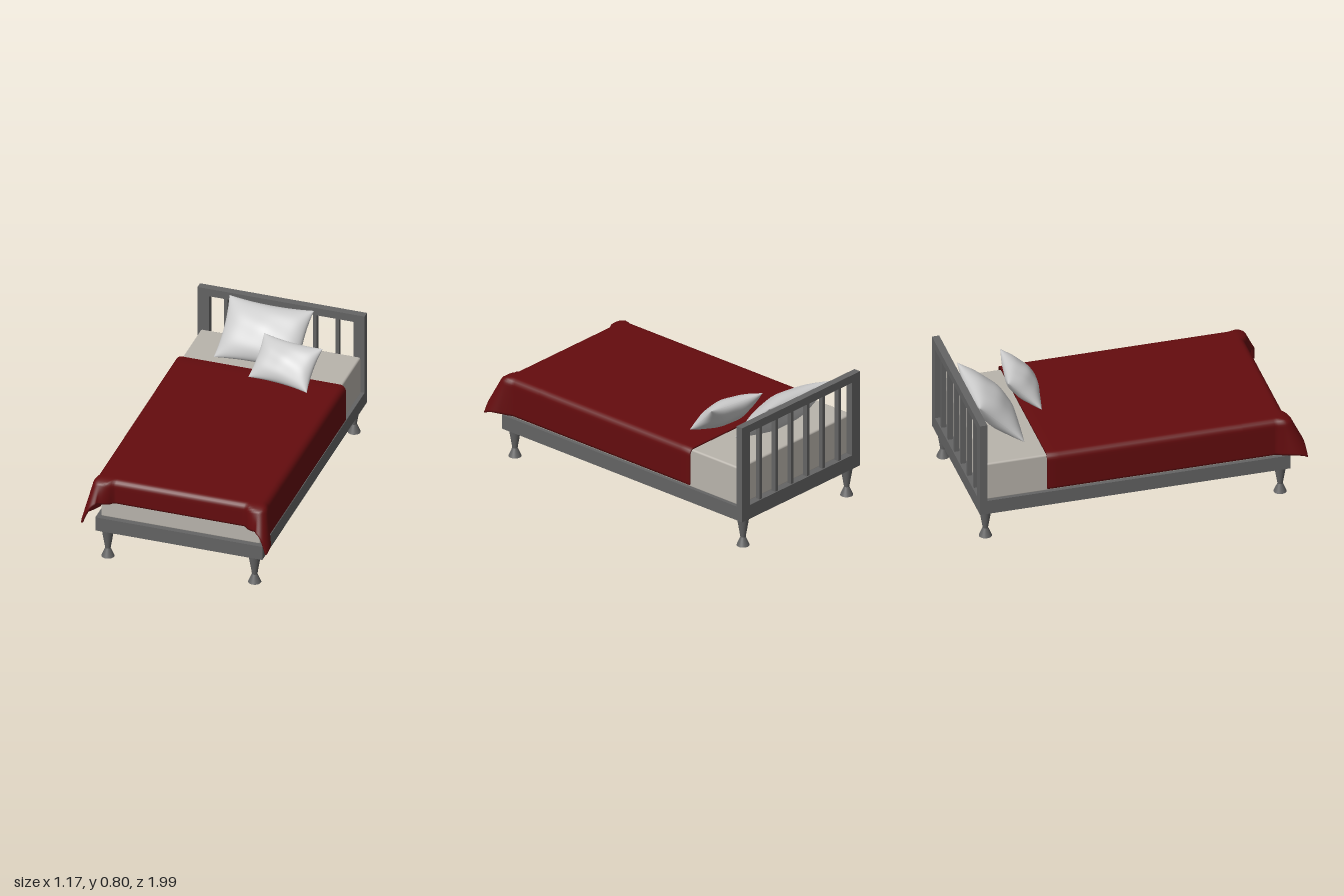
import * as THREE from 'three';
import { RoundedBoxGeometry } from 'three/addons/geometries/RoundedBoxGeometry.js';

const CX = -0.01; // centre line of the bed frame
const mat = (color, side = THREE.FrontSide) => new THREE.MeshStandardMaterial({ color, side });
const frameMat = mat(0x646464);
const mattressMat = mat(0xb9b4ac);
const blanketMat = mat(0x640c0e, THREE.DoubleSide);
const pillowMat = mat(0xcccccc);

function add(parent, name, geometry, material, x = 0, y = 0, z = 0) {
  const mesh = new THREE.Mesh(geometry, material);
  mesh.name = name;
  mesh.position.set(x, y, z);
  parent.add(mesh);
  return mesh;
}

// Box given by its minimum and maximum corners
function box(parent, name, material, [x0, y0, z0], [x1, y1, z1]) {
  return add(parent, name, new THREE.BoxGeometry(x1 - x0, y1 - y0, z1 - z0), material,
    (x0 + x1) / 2, (y0 + y1) / 2, (z0 + z1) / 2);
}

function indexedGeometry(points, index) {
  const g = new THREE.BufferGeometry();
  g.setAttribute('position', new THREE.Float32BufferAttribute(points, 3));
  g.setIndex(index);
  g.computeVertexNormals();
  return g;
}

// Headboard: frame with an opening, filled with upright slats
function makeHeadboard() {
  const group = new THREE.Group();
  group.name = 'headboard';
  const z0 = -1, z1 = -0.955;
  const rect = (path, x0, y0, x1, y1) => path.moveTo(x0, y0).lineTo(x1, y0).lineTo(x1, y1).lineTo(x0, y1).closePath();
  const shape = new THREE.Shape();
  rect(shape, -0.53, 0.185, 0.51, 0.8);
  const hole = new THREE.Path();
  rect(hole, -0.46, 0.275, 0.44, 0.75);
  shape.holes.push(hole);
  add(group, 'headboardFrame', new THREE.ExtrudeGeometry(shape, { depth: z1 - z0, bevelEnabled: false }), frameMat, 0, 0, z0);
  for (let i = 0; i < 6; i++) {
    const x = CX + (i - 2.5) * 0.139;
    box(group, 'headboardSlat', frameMat, [x - 0.011, 0.27, z0 + 0.008], [x + 0.011, 0.755, z1 - 0.008]);
  }
  return group;
}

// Leg: downward taper ending in a flared foot
function makeLeg(x, z) {
  const leg = new THREE.Group();
  leg.name = 'leg';
  add(leg, 'legTaper', new THREE.CylinderGeometry(0.038, 0.016, 0.132, 28), frameMat, 0, 0.121, 0);
  add(leg, 'legFoot', new THREE.CylinderGeometry(0.016, 0.039, 0.055, 28), frameMat, 0, 0.0275, 0);
  leg.position.set(x, 0, z);
  return leg;
}

// Draped blanket: rolls over the edges, with loose folds flaring out at the two foot corners
function blanketGeometry() {
  const r = 0.04, L = 0.49, zc = 0.845, top = 0.536, thick = 0.012;
  const sideHang = 0.258, footHang = 0.173, arc = r * Math.PI / 2;
  const nu = 120, nv = 56;
  const points = [], index = [];
  for (let j = 0; j <= nv; j++) {
    // denser rows toward the foot
    const v = j < 16 ? -0.59 + 1.19 * j / 16 : 0.6 + (zc + footHang - 0.6) * (j - 16) / (nv - 16);
    for (let i = 0; i <= nu; i++) {
      const u = (L + sideHang) * (2 * i / nu - 1);
      const a = Math.abs(u) - L, b = v - zc;
      const pa = Math.max(a, 0), pb = Math.max(b, 0), rho = Math.hypot(pa, pb);
      const phi = Math.atan2(pb, pa);
      const bend = Math.min(rho, arc) / r;
      const out = rho > 0 ? r * Math.sin(bend) : 0;
      let down = r * (1 - Math.cos(bend)) + Math.max(rho - arc, 0);
      // corner flare
      const fold = Math.atan2(Math.max(b + 0.03, 0), Math.max(a + 0.08, 0));
      const flare = Math.min(0.48 * rho * Math.pow(Math.max(Math.sin(2 * fold), 0), 0.7), down * 0.8);
      const dir = Math.min(fold + 0.62, 1.6);
      down = Math.sqrt(Math.max(down * down - flare * flare, 0));
      const x = Math.min(Math.abs(u), L) + out * Math.cos(phi) + flare * Math.cos(dir);
      const z = Math.min(v, zc) + out * Math.sin(phi) + flare * Math.sin(dir);
      points.push(CX + Math.sign(u) * x, top - down, z);
    }
  }
  const row = nu + 1, id = (i, j) => j * row + i;
  for (let j = 0; j < nv; j++) for (let i = 0; i < nu; i++) {
    const p = id(i, j);
    index.push(p, p + row, p + 1, p + 1, p + row, p + row + 1);
  }
  // underside, offset along the normals, joined by a hem
  const normals = indexedGeometry(points, index).attributes.normal.array;
  const n = points.length / 3, outer = index.length;
  for (let k = 0; k < n * 3; k++) points.push(points[k] - normals[k] * thick);
  for (let k = 0; k < outer; k += 3) index.push(index[k] + n, index[k + 2] + n, index[k + 1] + n);
  const hem = (p, q) => index.push(p, q, p + n, q, q + n, p + n);
  for (let i = 0; i < nu; i++) {
    hem(id(i, 0), id(i + 1, 0));
    hem(id(i + 1, nv), id(i, nv));
  }
  for (let j = 0; j < nv; j++) {
    hem(id(0, j + 1), id(0, j));
    hem(id(nu, j), id(nu, j + 1));
  }
  return indexedGeometry(points, index);
}

// Pillow: box grid squashed to a puffed cushion with pinched corners and soft creases
function pillowGeometry(w, h, t) {
  const n = 36, points = [], index = [], row = n + 1;
  for (const side of [1, -1]) {
    const base = points.length / 3;
    for (let j = 0; j <= n; j++) for (let i = 0; i <= n; i++) {
      const u = Math.sin((i / n - 0.5) * Math.PI), v = Math.sin((j / n - 0.5) * Math.PI);
      const puff = Math.max((1 - u * u) * (1 - v * v), 0);
      const crease = 1 + 0.05 * Math.sin(5 * u + 3 * v + side) * Math.cos(4 * v - 2 * u);
      points.push(
        w / 2 * u * (1 - 0.07 * (1 - v * v)),
        h / 2 * v * (1 - 0.09 * (1 - u * u)),
        side * t / 2 * Math.pow(puff, 0.5) * crease);
    }
    for (let j = 0; j < n; j++) for (let i = 0; i < n; i++) {
      const p = base + j * row + i, q = p + row;
      if (side > 0) index.push(p, p + 1, q, p + 1, q + 1, q);
      else index.push(p, q, p + 1, p + 1, q, q + 1);
    }
  }
  return indexedGeometry(points, index);
}

function addPillow(parent, name, size, position, tilt, yaw) {
  const pillow = add(parent, name, pillowGeometry(...size), pillowMat, ...position);
  pillow.rotation.set(tilt, yaw, 0, 'YXZ');
}

export function createModel() {
  const bed = new THREE.Group();
  bed.name = 'bed';

  box(bed, 'bedBase', frameMat, [-0.53, 0.185, -0.956], [0.51, 0.275, 0.9]);
  bed.add(makeHeadboard());
  for (const sx of [-1, 1]) for (const z of [0.855, -0.95]) bed.add(makeLeg(CX + sx * 0.457, z));

  add(bed, 'mattress', new RoundedBoxGeometry(0.995, 0.25, 1.822, 3, 0.012), mattressMat, CX, 0.393, -0.043);
  add(bed, 'blanket', blanketGeometry(), blanketMat);

  addPillow(bed, 'largePillow', [0.53, 0.385, 0.18], [-0.065, 0.655, -0.803], -0.78, -0.02);
  addPillow(bed, 'smallPillow', [0.39, 0.28, 0.14], [0.155, 0.64, -0.555], -0.8, -0.157);
  return bed;
}
